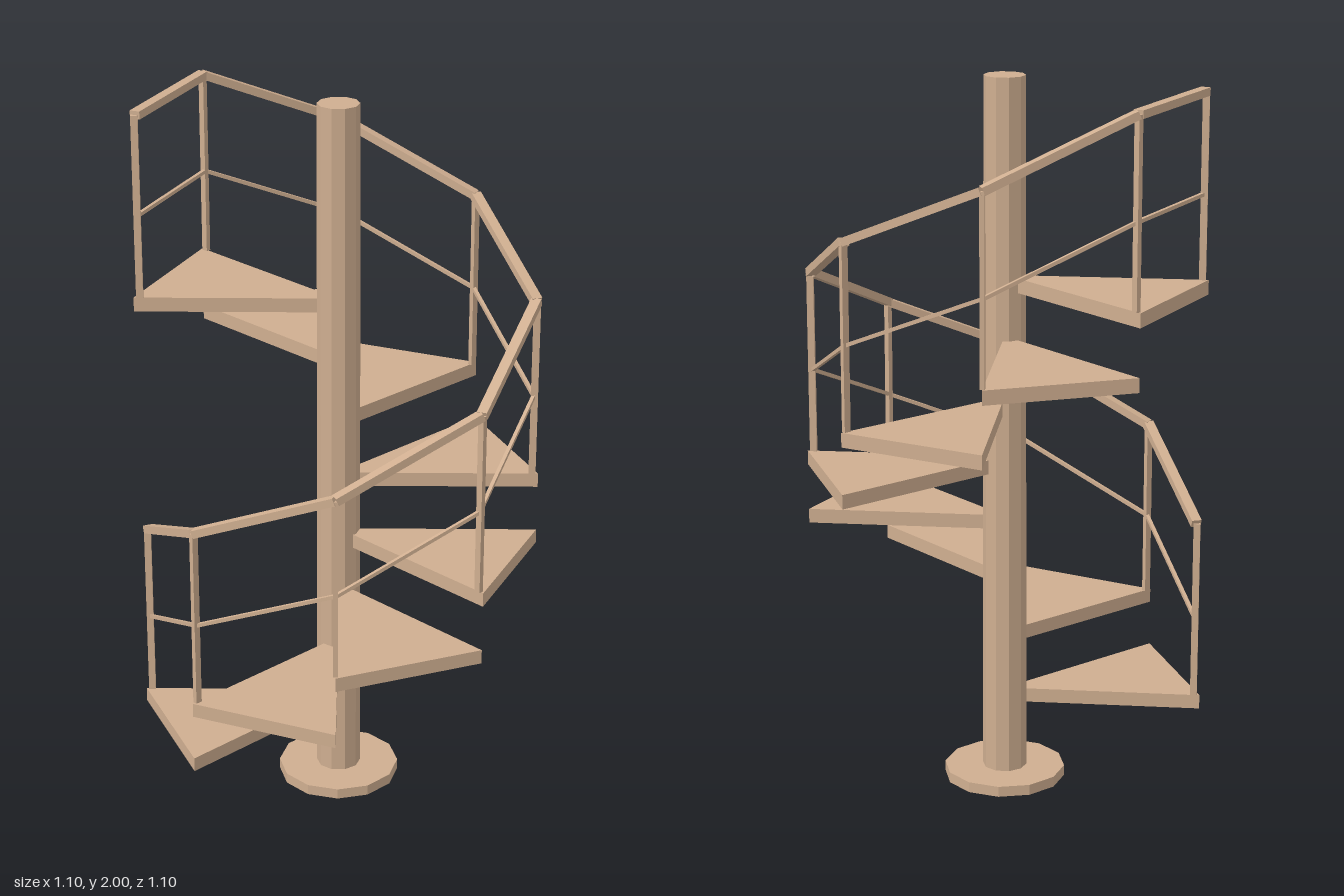
import * as THREE from 'three';

const STEPS = 8, TURN = Math.PI / 4;
const RADIUS = 0.55, THICK = 0.04, FIRST = 0.26, RISE = 0.171;
const RAIL_R = 0.531, RAIL_H = 0.508, MID_H = 0.233;

// Point on the spiral: step 0 starts at the model's right and climbs round the front
const at = (i, r, y) => new THREE.Vector3(-Math.cos(i * TURN) * r, y, Math.sin(i * TURN) * r);
const topOf = (i) => FIRST + Math.min(i, STEPS - 1) * RISE;

export function createModel() {
  const group = new THREE.Group();
  const wood = new THREE.MeshStandardMaterial({ color: 0xcfae90, flatShading: true });
  wood.name = 'light wood';

  const add = (name, geometry) => {
    const mesh = new THREE.Mesh(geometry, wood);
    mesh.name = name;
    group.add(mesh);
    return mesh;
  };

  // Straight bar between two points, kept upright
  const bar = (name, a, b, width, height) => {
    const mesh = add(name, new THREE.BoxGeometry(width, height, a.distanceTo(b)));
    mesh.position.copy(a).add(b).multiplyScalar(0.5);
    mesh.lookAt(b);
  };

  // Tapered centre pole and its foot
  const pole = new THREE.CylinderGeometry(0.057, 0.062, 2, 10);
  pole.rotateY(Math.PI / 2);
  add('centrePole', pole).position.y = 1;
  add('basePlate', new THREE.CylinderGeometry(0.17, 0.17, 0.03, 12)).position.y = 0.015;

  // Wedge-shaped treads
  for (let i = 0; i < STEPS; i++) {
    const a = at(i, RADIUS, 0), b = at(i + 1, RADIUS, 0);
    const wedge = new THREE.Shape([
      new THREE.Vector2(0, 0), new THREE.Vector2(a.x, -a.z), new THREE.Vector2(b.x, -b.z),
    ]);
    const tread = new THREE.ExtrudeGeometry(wedge, { depth: THICK, bevelEnabled: false });
    tread.rotateX(-Math.PI / 2);
    add('tread' + (i + 1), tread).position.y = topOf(i) - THICK;
  }

  // Posts, one at the start of each tread and one closing the top
  for (let i = 0; i <= STEPS; i++) {
    const post = add('post' + (i + 1), new THREE.BoxGeometry(0.019, RAIL_H, 0.013));
    post.position.copy(at(i, RAIL_R + 0.002, topOf(i) + RAIL_H / 2));
    post.rotation.y = i * TURN;
  }

  // Handrail and thin middle rail, segment by segment
  for (let i = 0; i < STEPS; i++) {
    const span = (h) => [at(i, RAIL_R, topOf(i) + h), at(i + 1, RAIL_R, topOf(i + 1) + h)];
    bar('handrail' + (i + 1), ...span(RAIL_H), 0.028, 0.022);
    bar('middleRail' + (i + 1), ...span(MID_H), 0.01, 0.01);
  }
  return group;
}
